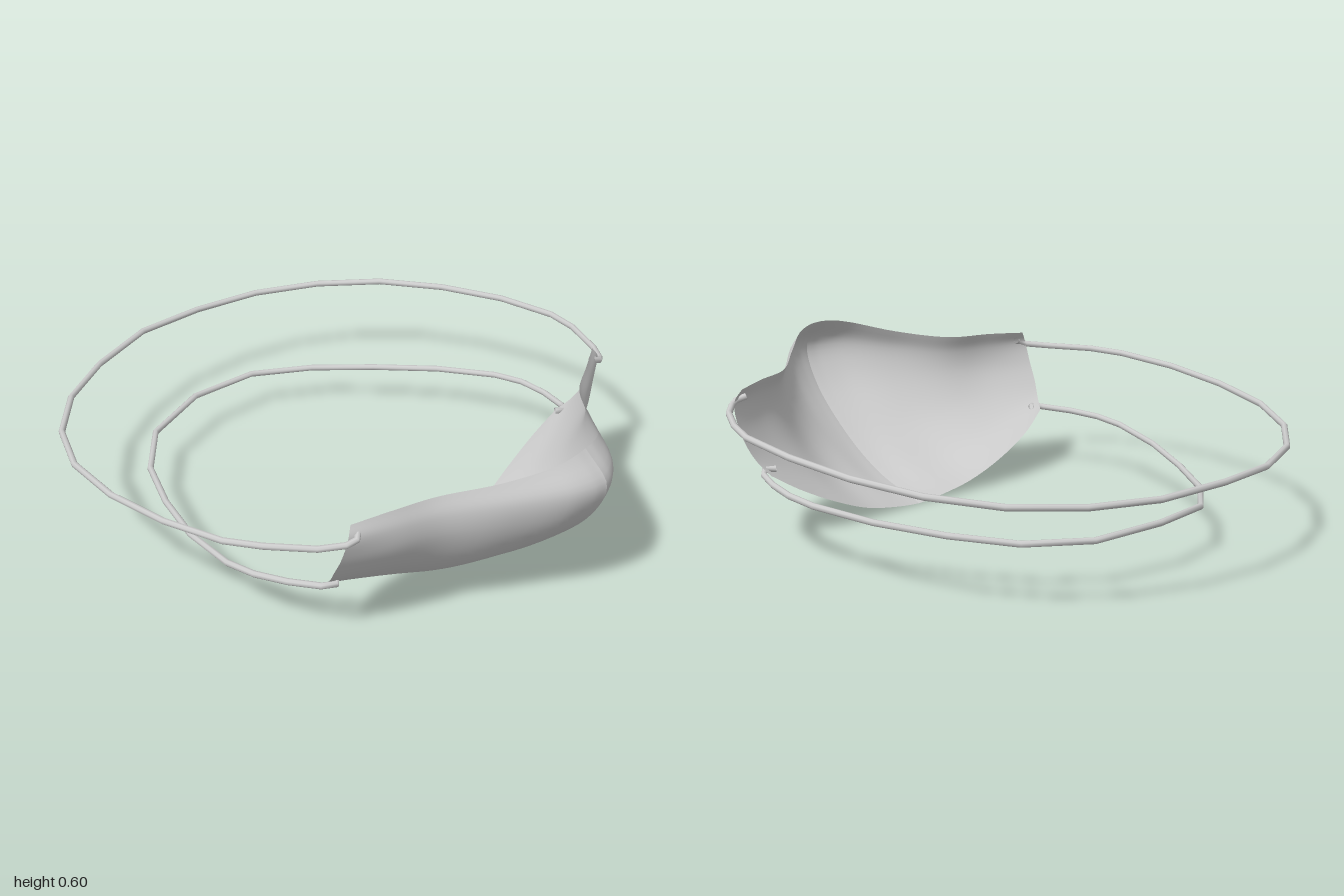
import * as THREE from 'three';

// Cross-sections of the left half, centre seam to side edge; each runs top to bottom as [x, y, z]
const SECTIONS = [
  [[0, .60, .91], [0, .5, .995], [0, .37, .95], [0, .2, .785], [0, .08, .6], [0, .005, .385]],
  [[.05, .597, .906], [.05, .5, .982], [.05, .372, .936], [.05, .207, .778], [.05, .088, .597], [.05, .009, .383]],
  [[.12, .583, .882], [.12, .5, .943], [.12, .38, .907], [.12, .22, .762], [.12, .105, .59], [.12, .018, .38]],
  [[.25, .545, .775], [.25, .48, .815], [.25, .38, .797], [.25, .235, .7], [.25, .125, .56], [.25, .043, .375]],
  [[.4, .52, .64], [.4, .46, .668], [.4, .38, .665], [.4, .27, .61], [.4, .175, .51], [.4, .098, .37]],
  [[.55, .52, .575], [.55, .465, .597], [.55, .39, .592], [.55, .31, .55], [.55, .235, .48], [.55, .17, .38]],
  [[.675, .515, .52], [.7, .475, .53], [.705, .4, .51], [.697, .33, .475], [.68, .28, .445], [.655, .235, .405]],
].map(col => col.map(p => new THREE.Vector3(...p)));

// Half strap paths, rear middle to the anchor on the mask
const UPPER_STRAP = [
  [0, .36, -.985], [.26, .352, -.95], [.49, .356, -.86], [.68, .366, -.71], [.815, .385, -.51], [.89, .407, -.27],
  [.917, .43, -.02], [.9, .447, .21], [.855, .455, .33], [.77, .458, .47], [.71, .465, .532], [.68, .475, .548], [.65, .487, .53],
];
const LOWER_STRAP = [
  [0, .175, -.735], [.26, .165, -.69], [.44, .162, -.545], [.57, .175, -.35], [.68, .195, -.135],
  [.744, .217, .08], [.748, .228, .195], [.722, .236, .31], [.68, .241, .41], [.65, .247, .445], [.62, .25, .42],
];

// Straight-segment path whose tube rings sit exactly on the corners
class Polyline extends THREE.Curve {
  constructor(points) {
    super();
    this.points = points;
  }
  getUtoTmapping(u) {
    return u;
  }
  getPoint(t, target = new THREE.Vector3()) {
    const s = t * (this.points.length - 1);
    const i = Math.min(Math.floor(s + 1e-9), this.points.length - 2);
    return target.lerpVectors(this.points[i], this.points[i + 1], s - i);
  }
}

// Smooth sheet through the sections; side is +1 or -1
function shellHalf(side, nu = 32, nv = 28) {
  const columns = SECTIONS.map(col => new THREE.CatmullRomCurve3(col));
  const positions = [], indices = [];
  for (let j = 0; j <= nv; j++) {
    const row = new THREE.CatmullRomCurve3(columns.map(c => c.getPoint(j / nv)));
    for (let i = 0; i <= nu; i++) {
      const p = row.getPoint(i / nu);
      positions.push(side * p.x, p.y, p.z);
      if (i < nu && j < nv) {
        const a = j * (nu + 1) + i, b = a + nu + 1;
        if (side > 0) indices.push(a, b, a + 1, b, b + 1, a + 1);
        else indices.push(a, a + 1, b, b, a + 1, b + 1);
      }
    }
  }
  const geometry = new THREE.BufferGeometry();
  geometry.setAttribute('position', new THREE.Float32BufferAttribute(positions, 3));
  geometry.setIndex(indices);
  geometry.computeVertexNormals();
  return geometry;
}

function strapGeometry(half) {
  const left = half.map(p => new THREE.Vector3(...p));
  const right = left.slice(1).reverse().map(p => new THREE.Vector3(-p.x, p.y, p.z));
  const points = [...right, ...left];
  return new THREE.TubeGeometry(new Polyline(points), points.length - 1, 0.011, 8, false);
}

export function createModel() {
  const group = new THREE.Group();
  group.name = 'faceMask';
  const fabric = new THREE.MeshStandardMaterial({ color: 0xcccccc, side: THREE.DoubleSide });
  fabric.name = 'light grey fabric';

  const add = (name, geometry) => {
    const mesh = new THREE.Mesh(geometry, fabric);
    mesh.name = name;
    group.add(mesh);
  };

  // Two panels meeting at the centre seam
  add('leftPanel', shellHalf(1));
  add('rightPanel', shellHalf(-1));

  // Elastic head straps
  add('upperStrap', strapGeometry(UPPER_STRAP));
  add('lowerStrap', strapGeometry(LOWER_STRAP));
  return group;
}
